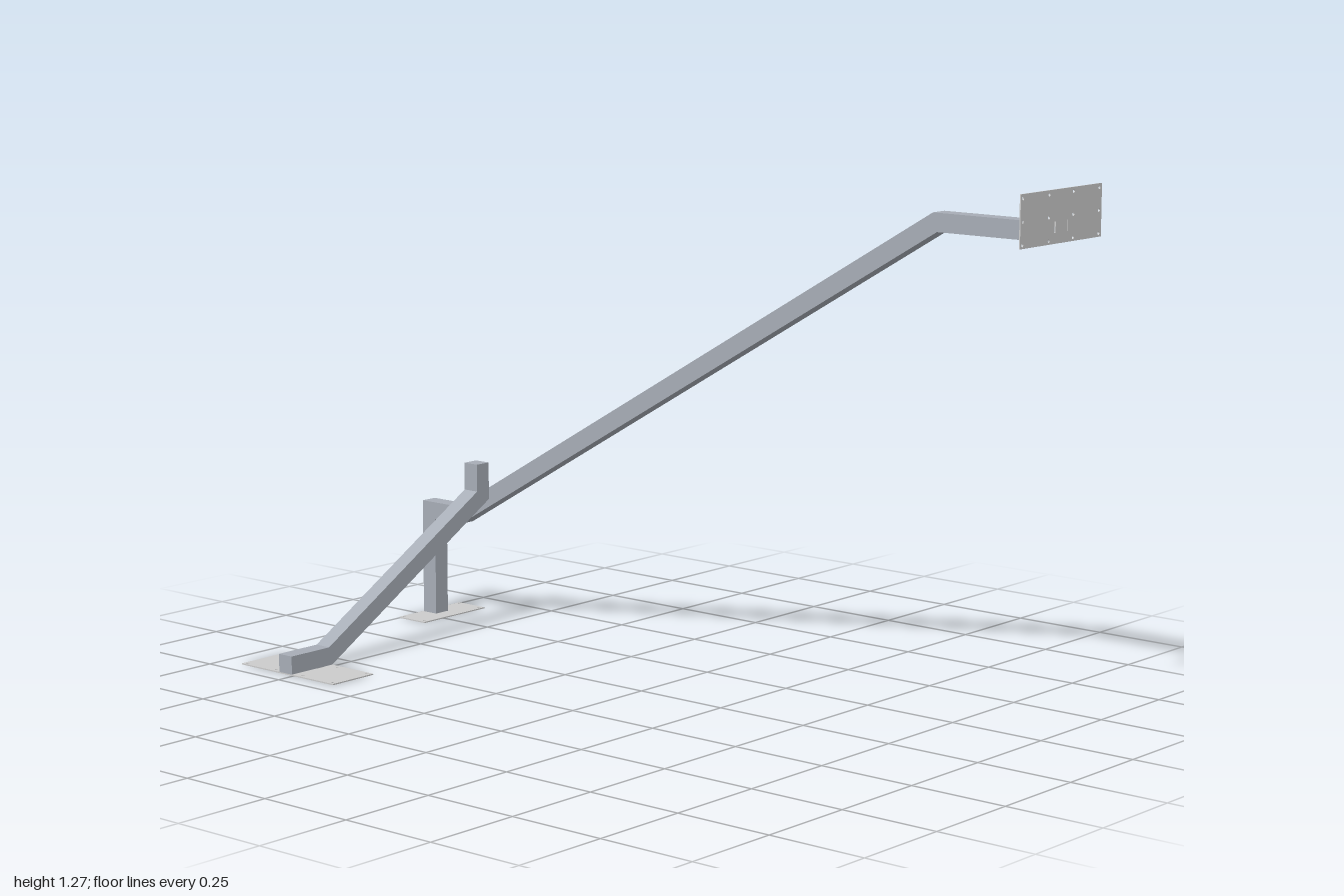
import * as THREE from 'three';

const T = 0.003;        // plate thickness
const TUBE = 0.045;     // square tube size
const steel = new THREE.MeshStandardMaterial({ color: 0xa7adb6 });
const plateGrey = new THREE.MeshStandardMaterial({ color: 0xcccccc });
const purple = new THREE.MeshStandardMaterial({ color: 0x8a3f98 });

const outline = (pts) => new THREE.Shape(pts.map(([a, b]) => new THREE.Vector2(a, b)));
const rect = (a0, b0, a1, b1) => [[a0, b0], [a1, b0], [a1, b1], [a0, b1]];
const extrude = (shape, depth) =>
  new THREE.ExtrudeGeometry(shape, { depth, bevelEnabled: false, curveSegments: 4 });

// Flat plate with a grid of bolt holes and narrow slots [a0, b0, a1, b1]
function plateGeometry(bounds, cols, rows, slots = []) {
  const shape = outline(rect(...bounds));
  for (const a of cols) for (const b of rows) {
    shape.holes.push(new THREE.Path().absarc(a, b, 0.004, 0, Math.PI * 2, true));
  }
  for (const s of slots) {
    shape.holes.push(new THREE.Path(rect(...s).reverse().map(([a, b]) => new THREE.Vector2(a, b))));
  }
  return extrude(shape, T);
}

export function createModel() {
  const group = new THREE.Group();
  const add = (name, geometry, material) => {
    const mesh = new THREE.Mesh(geometry, material);
    mesh.name = name;
    group.add(mesh);
  };

  // Rear post and long sloping rail, one bent square tube (drawn in x, y)
  add('mainRail', extrude(outline([
    [-0.997, T], [-0.952, T], [-0.952, 0.26], [-0.857, 0.26], [0.672, 1.151],
    [0.997, 1.151], [0.997, 1.196], [0.66, 1.196], [-0.867, 0.305], [-0.997, 0.305],
  ]), TUBE).translate(0, 0, -0.311), steel);

  // Side brace with flat foot and upright stub (drawn in z, y)
  add('sideBrace', extrude(outline([
    [0.451, T], [0.451, 0.049], [0.322, 0.049], [-0.22, 0.366], [-0.22, 0.437],
    [-0.264, 0.437], [-0.264, 0.34], [0.312, T],
  ]), TUBE).rotateY(-Math.PI / 2).translate(-0.754, 0, 0), steel);

  // Coloured contact face at the back of the stub
  add('contactFace', new THREE.PlaneGeometry(TUBE, 0.097)
    .rotateY(Math.PI).translate(-0.7765, 0.3885, -0.265), purple);

  // Upright end plate (drawn in z, y)
  add('endPlate', plateGeometry([-0.451, 1.15, -0.128, 1.273],
    [-0.441, -0.337, -0.24, -0.137], [1.158, 1.211, 1.263],
    [[-0.267, 1.175, -0.261, 1.201], [-0.314, 1.175, -0.312, 1.201]])
    .rotateY(-Math.PI / 2).translate(1, 0, 0), plateGrey);

  // Ground plates (drawn in x, z)
  add('postFootPlate', plateGeometry([-1, -0.405, -0.907, -0.175],
    [-0.99, -0.917], [-0.395, -0.185])
    .rotateX(Math.PI / 2).translate(0, T, 0), plateGrey);
  add('braceFootPlate', plateGeometry([-0.935, 0.312, -0.609, 0.451],
    [-0.924, -0.82, -0.725, -0.62], [0.323, 0.44],
    [[-0.803, 0.34, -0.798, 0.365], [-0.755, 0.34, -0.752, 0.365]])
    .rotateX(Math.PI / 2).translate(0, T, 0), plateGrey);

  return group;
}
